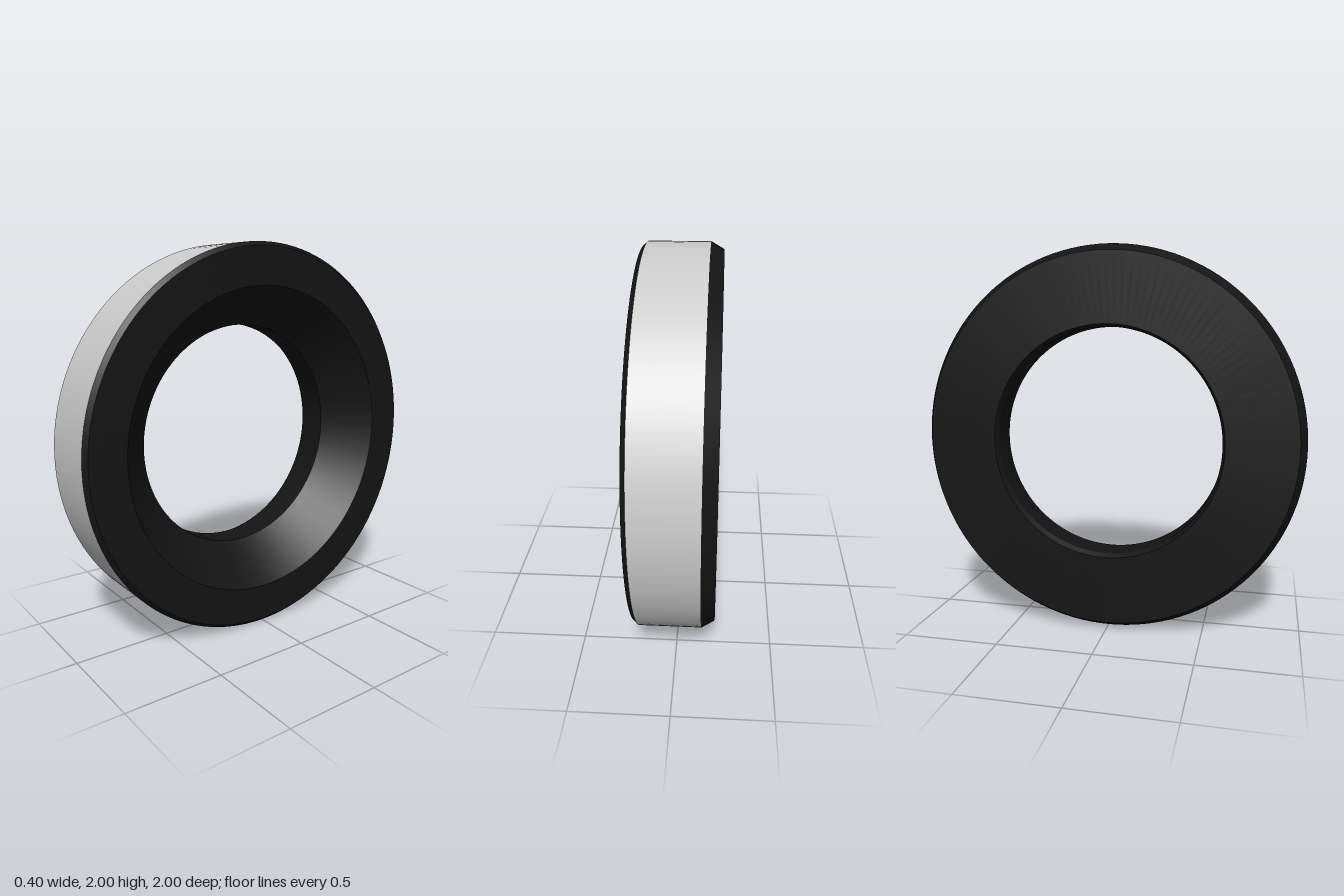
import * as THREE from 'three';
import { mergeGeometries } from 'three/addons/utils/BufferGeometryUtils.js';

const SEGMENTS = 128;

// Revolves a profile of [radius, x] points about the x axis; every corner stays sharp.
function revolve(name, profile, color) {
  const strips = [];
  for (let i = 0; i < profile.length - 1; i++) {
    const ends = [profile[i], profile[i + 1]].map(([r, x]) => new THREE.Vector2(r, x));
    strips.push(new THREE.LatheGeometry(ends, SEGMENTS));
  }
  const geometry = mergeGeometries(strips);
  geometry.rotateZ(-Math.PI / 2);
  const mesh = new THREE.Mesh(geometry, new THREE.MeshStandardMaterial({ color }));
  mesh.name = name;
  mesh.position.y = 1;
  return mesh;
}

export function createModel() {
  const group = new THREE.Group();
  group.name = 'ring';

  // Metal band around the rim
  group.add(revolve('outerBand', [[1, -0.135], [1, 0.175]], 0xcccccc));

  // Dark body: right chamfer and face, conical seat, bore, left face and chamfer
  group.add(revolve('ringBody', [
    [1, 0.175],
    [0.98, 0.197],
    [0.79, 0.197],
    [0.59, -0.02],
    [0.59, -0.17],
    [0.605, -0.2],
    [0.963, -0.2],
    [1, -0.135],
  ], 0x141414));

  return group;
}
